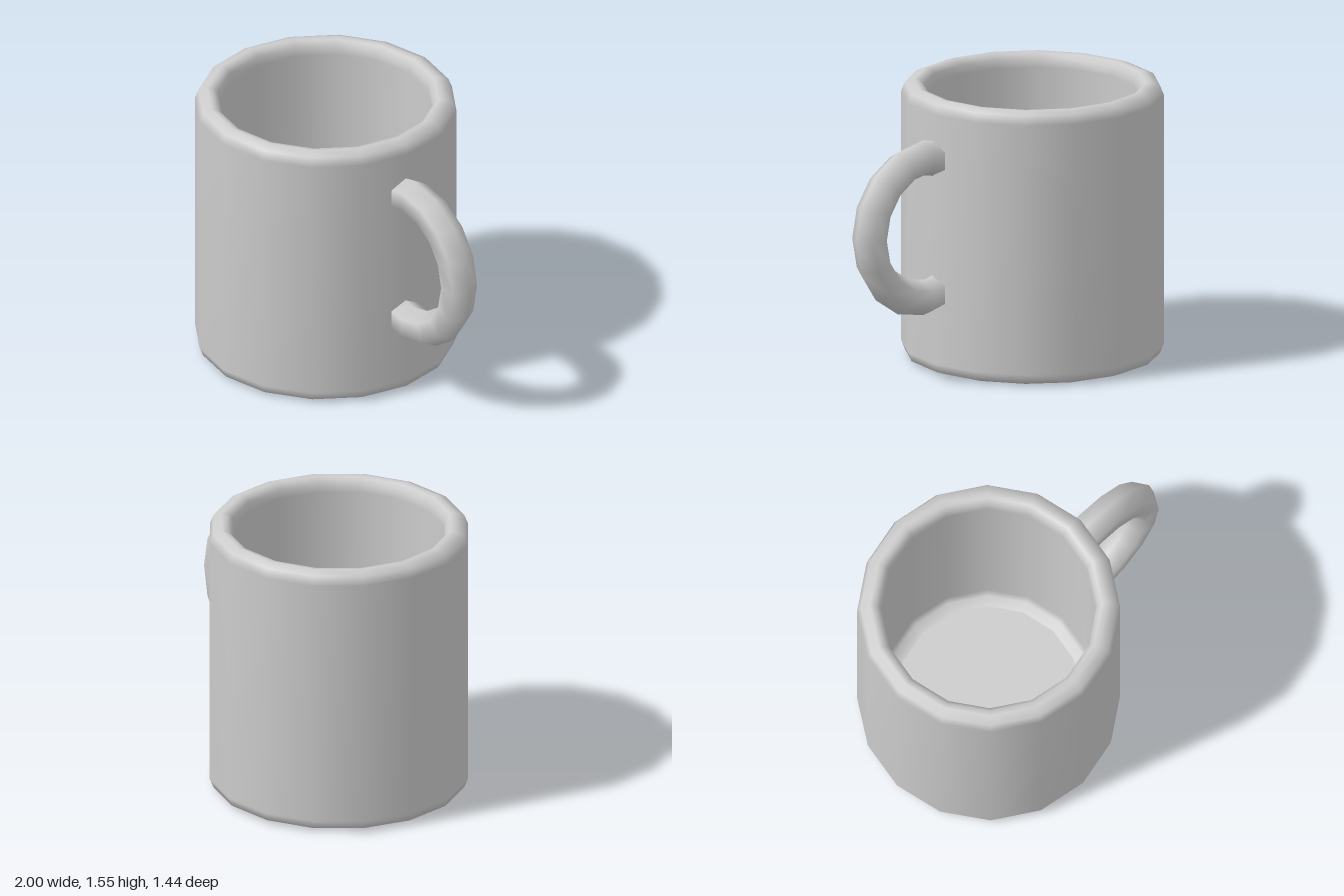
import * as THREE from 'three';

const SIDES = 16;
const material = new THREE.MeshStandardMaterial({ color: 0xcccccc });

// Cup wall, rounded rim, hollow inside and base as one revolved profile
function makeCup() {
  const profile = [
    [0, 0], [0.64, 0], [0.65, 0.002], [0.70, 0.02], [0.72, 0.07],
    [0.72, 1.48], [0.70, 1.53], [0.65, 1.55], [0.62, 1.545], [0.595, 1.52], [0.585, 1.47],
    [0.58, 0.19], [0.56, 0.15], [0.51, 0.13], [0.5, 0.13], [0, 0.13],
  ].map(([r, y]) => new THREE.Vector2(r, y));
  const cup = new THREE.Mesh(new THREE.LatheGeometry(profile, SIDES), material);
  cup.name = 'cup';
  cup.position.x = -0.28;
  return cup;
}

// Six-sided ring section whose ends are buried in the cup wall
function makeHandle() {
  const step = Math.PI / 8, segments = 10;
  const geometry = new THREE.TorusGeometry(0.395, 0.1, 6, segments, step * segments);
  geometry.rotateZ(-step * segments / 2);
  const handle = new THREE.Mesh(geometry, material);
  handle.name = 'handle';
  handle.position.set(0.505, 0.85, 0.015);
  return handle;
}

export function createModel() {
  const mug = new THREE.Group();
  mug.name = 'mug';
  mug.add(makeCup(), makeHandle());
  return mug;
}
